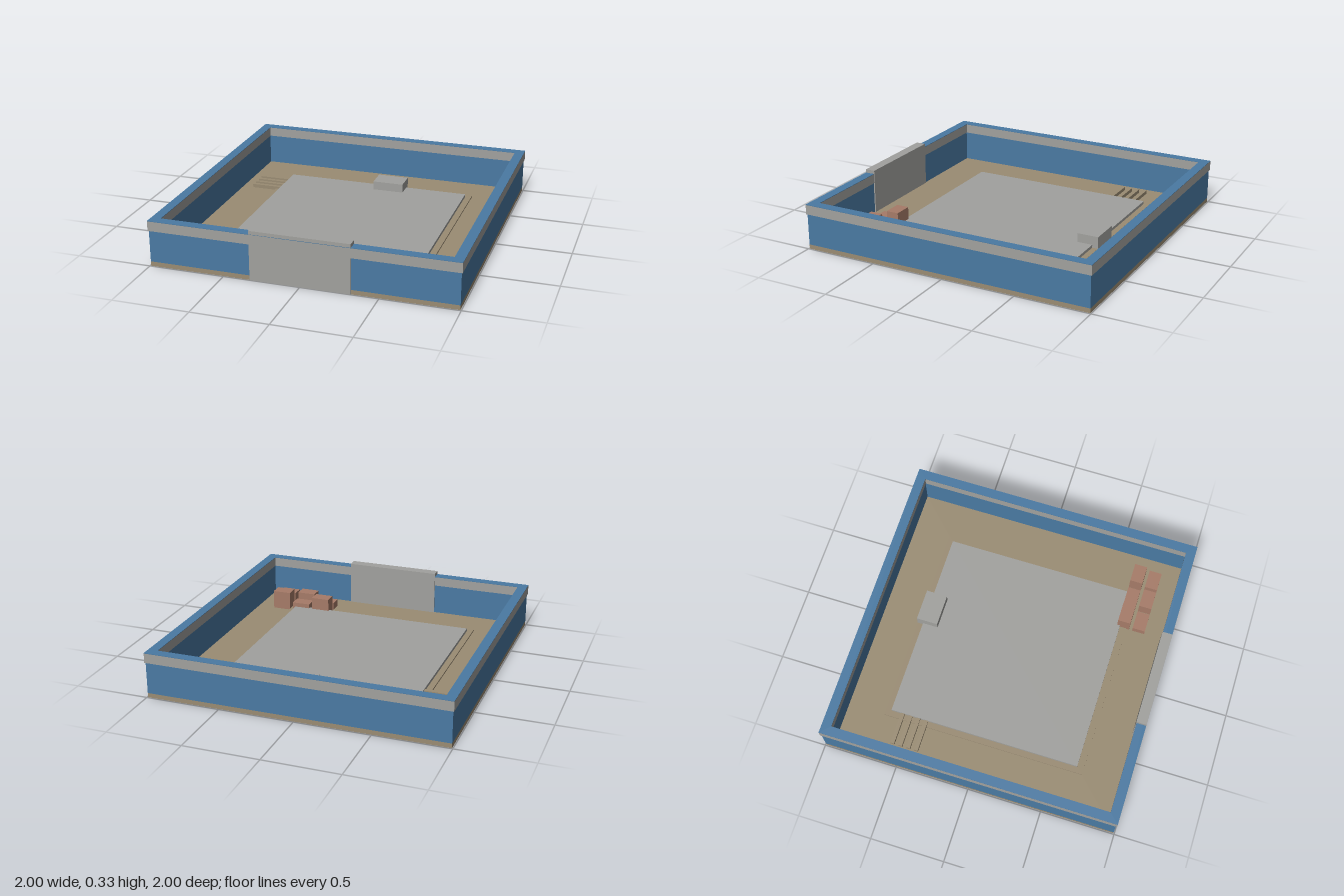
import * as THREE from 'three';

const mat = (name, color) => {
  const m = new THREE.MeshStandardMaterial({ color });
  m.name = name;
  return m;
};

export function createModel() {
  const group = new THREE.Group();
  const blue = mat('blue wall', 0x4a7aa3);
  const grey = mat('concrete grey', 0xa1a19e);
  const tan = mat('sand', 0x9a8c73);
  const clay = mat('crate brown', 0xa67b68);

  // Box given by its lower and upper limits on each axis
  const box = (name, material, x0, x1, y0, y1, z0, z1) => {
    const mesh = new THREE.Mesh(new THREE.BoxGeometry(x1 - x0, y1 - y0, z1 - z0), material);
    mesh.position.set((x0 + x1) / 2, (y0 + y1) / 2, (z0 + z1) / 2);
    mesh.name = name;
    group.add(mesh);
  };

  // Square ring with an open middle
  const ring = (name, material, outer, inner, y0, y1) => {
    const square = (T, r) => {
      const s = new T();
      s.moveTo(-r, -r).lineTo(r, -r).lineTo(r, r).lineTo(-r, r).closePath();
      return s;
    };
    const shape = square(THREE.Shape, outer);
    shape.holes.push(square(THREE.Path, inner));
    const geo = new THREE.ExtrudeGeometry(shape, { depth: y1 - y0, bevelEnabled: false });
    geo.rotateX(-Math.PI / 2);
    const mesh = new THREE.Mesh(geo, material);
    mesh.position.y = y0;
    mesh.name = name;
    group.add(mesh);
  };

  // Ground and perimeter
  box('ground', tan, -0.994, 0.994, 0, 0.03, -0.994, 0.994);
  ring('perimeterWall', blue, 0.994, 0.94, 0.03, 0.24);
  ring('wallBand', grey, 1, 0.936, 0.24, 0.304);
  ring('wallTop', blue, 1, 0.936, 0.304, 0.307);
  box('gate', grey, -0.325, 0.325, 0, 0.33, 0.932, 1);

  // Raised yard
  box('yardBase', tan, -0.69, 0.69, 0.03, 0.04, -0.69, 0.69);
  box('yardSlab', grey, -0.65, 0.648, 0.04, 0.06, -0.65, 0.645);
  box('yardBlock', grey, 0, 0.215, 0.04, 0.12, -0.69, -0.545);

  // Row of slats beside the yard
  for (let i = 0; i < 4; i++) {
    const z = -0.57 + i * 0.055;
    box('slat', tan, -0.865, -0.65, 0.03, 0.055, z - 0.013, z + 0.013);
  }

  // Crates of differing height
  const heights = [[0.145, 0.09, 0.16], [0.08, 0.13, 0.12]];
  heights.forEach((row, j) => row.forEach((top, i) => {
    const x = 0.453 + i * 0.151, z = 0.668 + j * 0.108;
    box('crate', clay, x - 0.064, x + 0.064, 0.03, top, z - 0.043, z + 0.043);
  }));
  return group;
}
